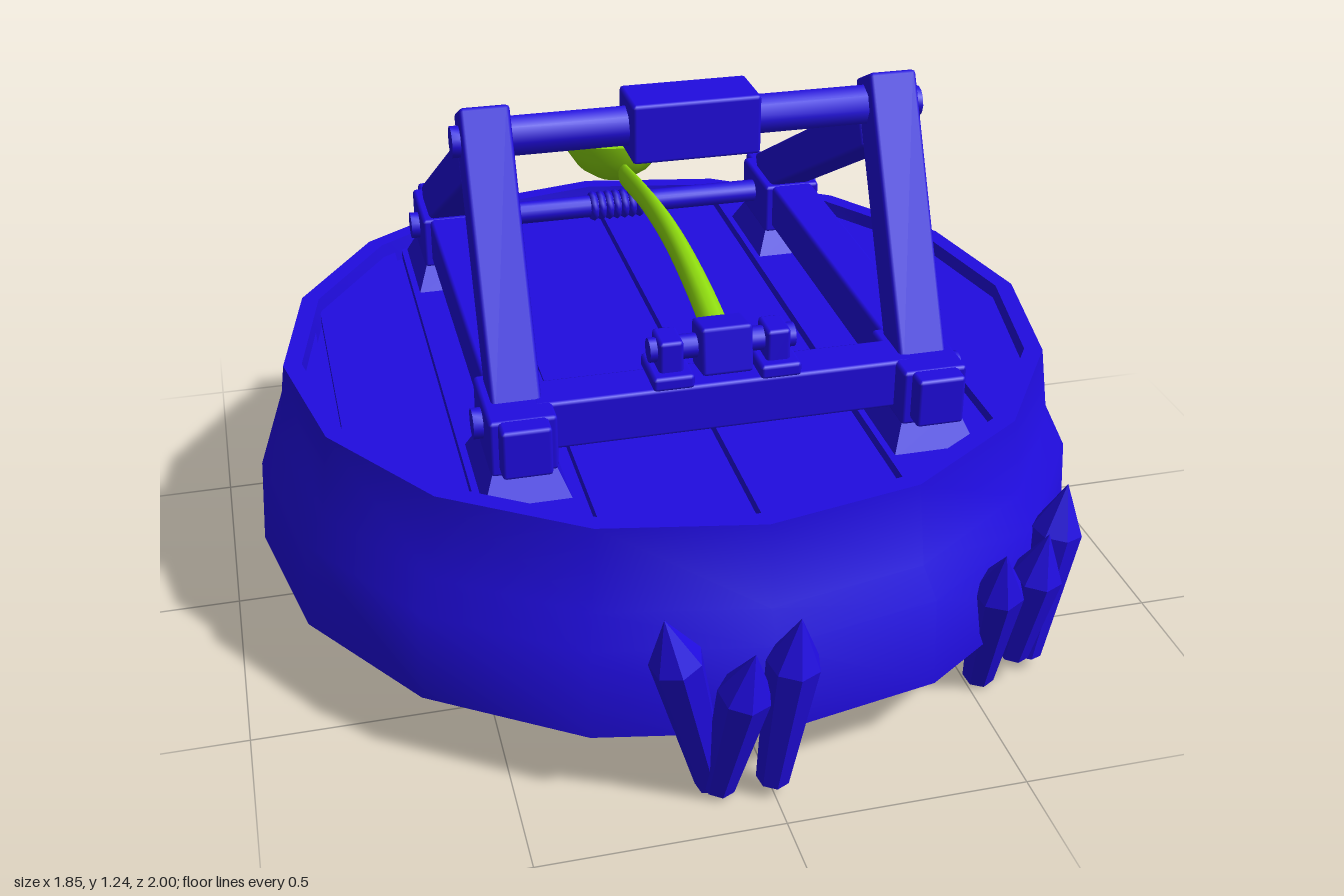
import * as THREE from 'three';
import { toCreasedNormals } from 'three/addons/utils/BufferGeometryUtils.js';
import { RoundedBoxGeometry } from 'three/addons/geometries/RoundedBoxGeometry.js';

export function createModel() {
  const root = new THREE.Group();
  const blue = new THREE.MeshStandardMaterial({ color: 0x200ce0 });
  const blueOpen = new THREE.MeshStandardMaterial({ color: 0x200ce0, side: THREE.DoubleSide });
  const green = new THREE.MeshStandardMaterial({ color: 0x8fdc0f, side: THREE.DoubleSide });

  const add = (name, geometry, material = blue, x = 0, y = 0, z = 0) => {
    const mesh = new THREE.Mesh(geometry, material);
    mesh.name = name;
    mesh.position.set(x, y, z);
    root.add(mesh);
    return mesh;
  };
  const crease = (g, angle = 0.6) => toCreasedNormals(g, angle);
  const box = (name, w, h, d, x, y, z) =>
    add(name, new RoundedBoxGeometry(w, h, d, 1, 0.008), blue, x, y, z);
  // Cylinder lying along x
  const rod = (name, r, length, x, y, z, sides = 12) =>
    add(name, crease(new THREE.CylinderGeometry(r, r, length, sides).rotateZ(Math.PI / 2), 0.8), blue, x, y, z);
  // Square beam between two points [z, y] in the side plane
  const strut = (name, x, [z0, y0], [z1, y1], w) => {
    const beam = box(name, w, Math.hypot(z1 - z0, y1 - y0), w * 0.95, x, (y0 + y1) / 2, (z0 + z1) / 2);
    beam.rotation.x = Math.atan2(z1 - z0, y1 - y0);
  };

  // Sixteen-sided base wall, open underneath
  const wall = [
    [0.8, 0.52], [0.815, 0.5], [0.855, 0.42], [0.9, 0.35], [0.912, 0.155], [0.927, 0.155],
    [0.915, 0.35], [0.872, 0.41], [0.848, 0.586], [0.808, 0.586], [0.8, 0.52],
  ].map(([r, y]) => new THREE.Vector2(r, y));
  add('baseWall', crease(new THREE.LatheGeometry(wall, 16), 0.7), blueOpen, 0, 0, -0.015);

  // Floor planks, each trimmed to the sixteen-sided outline
  const R = 0.815;
  const halfDepth = (x) => {
    let h = Infinity;
    for (let k = 0; k < 8; k++) {
      const a = Math.PI / 16 + (k * Math.PI) / 8;
      h = Math.min(h, (R * Math.cos(Math.PI / 16) - x * Math.cos(a)) / Math.sin(a));
    }
    return Math.max(h, 0.001);
  };
  const seams = [-R, -0.755, -0.53, -0.31, 0, 0.31, 0.575, R];
  for (let i = 0; i < seams.length - 1; i++) {
    const x0 = seams[i] + 0.009, x1 = seams[i + 1] - 0.009;
    const xs = [x0];
    for (let k = 15; k > 0; k--) {
      const x = R * Math.cos((k * Math.PI) / 8);
      if (k < 8 && x > x0 && x < x1) xs.push(x);
      if (k > 8) continue;
    }
    for (let k = 7; k > 0; k--) {
      const x = R * Math.cos((k * Math.PI) / 8);
      if (x > x0 && x < x1 && !xs.includes(x)) xs.push(x);
    }
    xs.push(x1);
    xs.sort((a, b) => a - b);
    const outline = [
      ...xs.map((x) => new THREE.Vector2(x, -halfDepth(x))),
      ...xs.slice().reverse().map((x) => new THREE.Vector2(x, halfDepth(x))),
    ];
    const plank = new THREE.ExtrudeGeometry(new THREE.Shape(outline), { depth: 0.04, bevelEnabled: false });
    add('floorPlank', plank.rotateX(-Math.PI / 2), blue, 0, 0.515, -0.015);
  }
  // Thin backing under the seams
  add('floorBacking', new THREE.CylinderGeometry(R, R, 0.012, 16), blue, 0, 0.526, -0.015);

  // Side frames, mirrored left and right
  for (const s of [-1, 1]) {
    const x = s * 0.42;
    box('sideBeam', 0.1, 0.105, 1.25, x, 0.673, -0.005);
    for (const z of [0.48, -0.49]) {
      box('footBlock', 0.135, 0.12, 0.2, x, 0.667, z);
      const flare = new THREE.CylinderGeometry(0.62 * Math.SQRT1_2, Math.SQRT1_2, 0.08, 4, 1).rotateY(Math.PI / 4);
      add('footFlare', crease(flare.scale(0.18, 1, 0.26), 0.3), blue, x, 0.588, z);
      rod('footBolt', 0.031, 0.04, s * 0.487, 0.675, z);
    }
    strut('frontStrut', x, [0.47, 0.69], [0.202, 1.222], 0.1);
    strut('rearStrut', x, [-0.53, 0.71], [0.2, 1.112], 0.098);
    rod('topBolt', 0.032, 0.03, s * 0.472, 1.165, 0.222);
  }

  // Cross members
  box('frontCrossBeam', 0.78, 0.105, 0.1, 0, 0.675, 0.48);
  rod('topCrossBar', 0.043, 0.78, 0, 1.163, 0.212, 8);
  box('stopPad', 0.265, 0.125, 0.13, 0, 1.166, 0.217);
  rod('rearAxle', 0.027, 0.78, 0, 0.675, -0.5);
  for (let i = -3; i <= 3; i++) {
    const coil = new THREE.TorusGeometry(0.027, 0.01, 6, 12).rotateY(Math.PI / 2);
    add('ropeCoil', coil, blue, i * 0.019, 0.675, -0.5);
  }

  // Pivot for the throwing arm
  for (const s of [-1, 1]) {
    box('pivotFoot', 0.085, 0.03, 0.12, s * 0.11, 0.74, 0.475);
    box('pivotBracket', 0.05, 0.09, 0.075, s * 0.11, 0.775, 0.475);
  }
  rod('pivotPin', 0.025, 0.3, 0, 0.79, 0.475);
  box('pivotHub', 0.105, 0.1, 0.085, 0, 0.79, 0.485).rotation.x = -0.15;

  // Curved throwing arm, narrowing toward the bowl
  const path = new THREE.CatmullRomCurve3(
    [[0.47, 0.79], [0.3, 0.822], [0.08, 0.84], [-0.15, 0.828], [-0.41, 0.79]]
      .map(([z, y]) => new THREE.Vector3(0, y, z)));
  const armGeo = new THREE.TubeGeometry(path, 20, 0.03, 10, false);
  const armPos = armGeo.attributes.position;
  for (let i = 0; i < armPos.count; i++) {
    const t = THREE.MathUtils.clamp((0.47 - armPos.getZ(i)) / 0.88, 0, 1);
    armPos.setX(i, armPos.getX(i) * (1 - 0.6 * t));
  }
  armGeo.computeVertexNormals();
  add('throwingArm', armGeo, green);

  // Bowl with an uneven, chipped rim
  const profile = [
    [0, 0], [0.05, 0.008], [0.09, 0.036], [0.115, 0.075], [0.125, 0.12],
    [0.108, 0.12], [0.098, 0.078], [0.075, 0.045], [0.04, 0.022], [0, 0.016],
  ].map(([r, y]) => new THREE.Vector2(r, y));
  const bowl = new THREE.LatheGeometry(profile, 16);
  const bp = bowl.attributes.position;
  for (let i = 0; i < bp.count; i++) {
    const y = bp.getY(i), z = bp.getZ(i);
    if (y < 0.1) continue;
    const dip = 0.038 * Math.exp(-(((z + 0.05) / 0.035) ** 2));
    bp.setY(i, y - dip - (0.125 - z) * 0.07);
  }
  bowl.computeVertexNormals();
  add('bowl', crease(bowl, 0.9), green, 0, 0.747, -0.508);

  // Pointed stakes: [shoulder x, shoulder z, tip y, bottom x, bottom y, bottom z]
  const stakes = [
    [-0.2, 0.905, 0.47, -0.115, 0.015, 0.86], [-0.075, 0.945, 0.4, -0.105, 0.02, 0.88], [0.02, 0.945, 0.457, 0, 0.035, 0.9],
    [0.52, 0.75, 0.4, 0.53, 0.015, 0.67], [0.62, 0.715, 0.4, 0.6, 0.07, 0.68], [0.69, 0.645, 0.457, 0.65, 0.035, 0.64],
    [-0.56, -0.78, 0.455, -0.52, 0.035, -0.76], [-0.47, -0.84, 0.4, -0.46, 0.07, -0.78], [-0.37, -0.87, 0.46, -0.4, 0.012, -0.77],
    [-0.27, -0.925, 0.455, -0.24, 0.035, -0.88], [-0.19, -0.95, 0.4, -0.17, 0.07, -0.89], [-0.065, -0.935, 0.46, -0.115, 0.012, -0.86],
  ];
  const up = new THREE.Vector3(0, 1, 0);
  for (const [sx, sz, tipY, bx, by, bz] of stakes) {
    const base = new THREE.Vector3(bx, by, bz);
    const dir = new THREE.Vector3(sx, tipY - 0.11, sz).sub(base);
    const len = dir.length();
    const shape = [[0, 0], [0.034, 0], [0.054, len], [0, len + 0.11]].map(([r, y]) => new THREE.Vector2(r, y));
    const stake = add('stake', crease(new THREE.LatheGeometry(shape, 7), 0.3), blue, bx, by, bz);
    stake.quaternion.setFromUnitVectors(up, dir.normalize());
  }

  return root;
}
